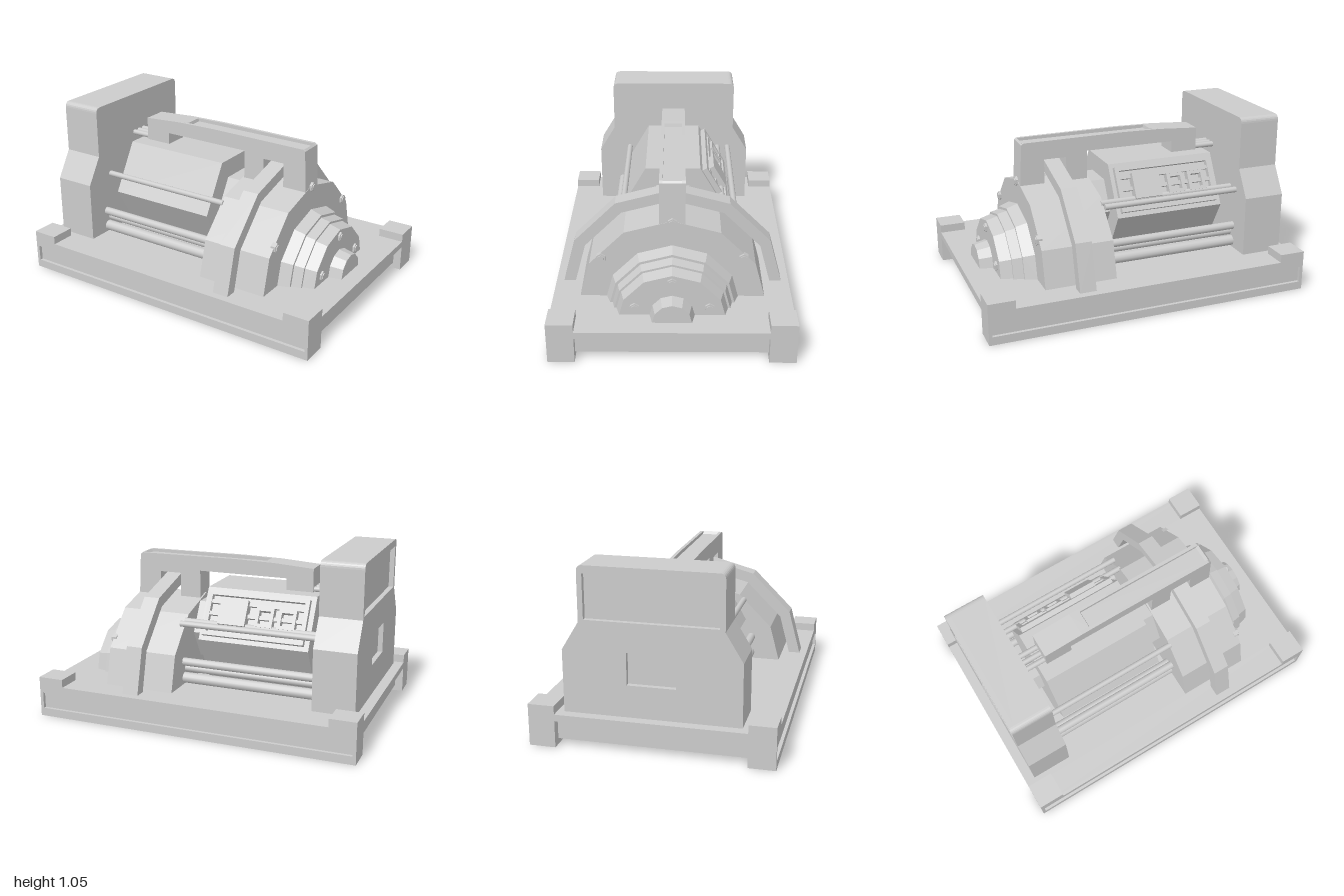
import * as THREE from 'three';
import { ConvexGeometry } from 'three/addons/geometries/ConvexGeometry.js';

const material = new THREE.MeshStandardMaterial({ color: 0xcccccc, flatShading: true });
const smooth = new THREE.MeshStandardMaterial({ color: 0xcccccc });

export function createModel() {
  const model = new THREE.Group();

  const add = (name, geometry, parent = model, mat = material) => {
    const mesh = new THREE.Mesh(geometry, mat);
    mesh.name = name;
    parent.add(mesh);
    return mesh;
  };
  // Box given by its min and max on each axis
  const box = (name, x0, x1, y0, y1, z0, z1, parent) => {
    const g = new THREE.BoxGeometry(x1 - x0, y1 - y0, z1 - z0);
    g.translate((x0 + x1) / 2, (y0 + y1) / 2, (z0 + z1) / 2);
    return add(name, g, parent);
  };
  // Cylinder along x
  const rod = (name, x0, x1, y, z, r, sides = 14, parent = model) => {
    const g = new THREE.CylinderGeometry(r, r, x1 - x0, sides);
    if (sides === 6) g.rotateY(Math.PI / 2);
    g.rotateZ(-Math.PI / 2);
    g.translate((x0 + x1) / 2, y, z);
    return add(name, g, parent, sides > 8 ? smooth : material);
  };
  const shapeOf = (pts) => new THREE.Shape(pts.map(([a, b]) => new THREE.Vector2(a, b)));
  const rect = (a0, a1, b0, b1) => shapeOf([[a0, b0], [a1, b0], [a1, b1], [a0, b1]]);
  const extrude = (shape, depth) =>
    new THREE.ExtrudeGeometry(shape, { depth, bevelEnabled: false, curveSegments: 6 });
  // Extrude a (z, y) outline along x
  const extrudeX = (shape, x0, x1) => extrude(shape, x1 - x0).rotateY(Math.PI / 2).translate(x0, 0, 0);

  // Upper half of a twelve-sided ring, cut at floor level
  const floor = 0.2;
  const archPoints = (r, cy = 0.14) => {
    const end = r - 0.268 * (floor - cy);
    const pts = [[end, floor]];
    for (let i = 1; i <= 5; i++) {
      const a = (i * Math.PI) / 6;
      pts.push([r * Math.cos(a), cy + r * Math.sin(a)]);
    }
    pts.push([-end, floor]);
    return pts;
  };
  // Tapered solid between two arches
  const taper = (name, x0, r0, x1, r1, cy) => {
    const at = (x, r) => archPoints(r, cy).map(([z, y]) => new THREE.Vector3(x, y, z));
    return add(name, new ConvexGeometry([...at(x0, r0), ...at(x1, r1)]));
  };

  // Base: top plate, slab, grooved side rails and corner blocks
  box('basePlate', -1, 1, 0.16, 0.2, -0.56, 0.56);
  box('baseSlab', -0.95, 0.95, 0.035, 0.16, -0.56, 0.56);
  for (const s of [-1, 1]) {
    const rail = new THREE.Group();
    rail.name = s > 0 ? 'frontRail' : 'backRail';
    model.add(rail);
    box('railCore', -1, 1, 0, 0.2, s > 0 ? 0.55 : -0.685, s > 0 ? 0.685 : -0.55, rail);
    const frame = rect(-1, 1, 0, 0.2);
    frame.holes.push(rect(-0.98, 0.98, 0.05, 0.15));
    add('railFrame', extrude(frame, 0.02).translate(0, 0, s > 0 ? 0.685 : -0.705), rail);
    for (const e of [-1, 1]) {
      box('cornerBlock', e > 0 ? 0.84 : -1, e > 0 ? 1 : -0.84, 0.2, 0.25,
        s > 0 ? 0.55 : -0.705, s > 0 ? 0.705 : -0.55);
    }
  }

  // End cabinet with rounded top corners and two recesses in its outer face
  const cabinetShape = () => {
    const s = new THREE.Shape();
    s.moveTo(-0.51, 0.2);
    s.lineTo(0.51, 0.2);
    s.lineTo(0.51, 0.57);
    s.lineTo(0.41, 0.735);
    s.lineTo(0.41, 1.02);
    s.quadraticCurveTo(0.41, 1.055, 0.375, 1.055);
    s.lineTo(-0.375, 1.055);
    s.quadraticCurveTo(-0.41, 1.055, -0.41, 1.02);
    s.lineTo(-0.41, 0.735);
    s.lineTo(-0.51, 0.57);
    s.closePath();
    return s;
  };
  add('cabinet', extrudeX(cabinetShape(), -0.91, -0.685));
  const face = cabinetShape();
  face.holes.push(rect(-0.38, 0.38, 0.75, 1.01), rect(-0.14, 0.14, 0.39, 0.58));
  add('cabinetFace', extrudeX(face, -0.94, -0.91));

  // Drum housing and stepped end cover
  add('drumHousing', extrudeX(shapeOf(archPoints(0.56)), 0.18, 0.62));
  taper('coverRing', 0.61, 0.407, 0.69, 0.38);
  taper('coverRing', 0.68, 0.367, 0.75, 0.352);
  taper('coverRing', 0.74, 0.342, 0.82, 0.32);
  taper('shaftNose', 0.81, 0.132, 0.9, 0.113, 0.2);

  // Brace arching over the housing with a small gap
  const brace = [...archPoints(0.675), ...archPoints(0.605).reverse()];
  add('archBrace', extrudeX(shapeOf(brace), 0.35, 0.45));

  // Hex bolts with a raised centre
  const bolt = (x, y, z) => {
    rod('bolt', x - 0.02, x + 0.012, y, z, 0.03, 6);
    rod('boltCentre', x, x + 0.018, y, z, 0.021, 6);
  };
  for (const z of [-0.415, 0.415]) bolt(0.62, 0.46, z);
  bolt(0.62, 0.69, 0);
  bolt(0.82, 0.415, 0);
  for (const z of [-0.215, 0.215]) bolt(0.82, 0.25, z);

  // Top beam: side cheeks and a lower middle that leaves a trough on top
  const beamLower = [[-0.55, 0.78], [-0.38, 0.78], [-0.38, 0.855], [0.19, 0.855], [0.19, 0.68],
    [0.325, 0.68], [0.325, 0.83], [0.465, 0.83], [0.465, 0.68], [0.618, 0.68]];
  const beamTop = [[0.605, 0.932], [0.59, 0.943], [-0.05, 0.948], [-0.3, 0.943], [-0.55, 0.927]];
  const troughTop = [[0.605, 0.932], [0.595, 0.943], [0.58, 0.925], [-0.235, 0.925],
    [-0.24, 0.945], [-0.3, 0.943], [-0.55, 0.927]];
  const beam = new THREE.Group();
  beam.name = 'topBeam';
  model.add(beam);
  for (const z of [-0.075, 0.055]) {
    add('beamCheek', extrude(shapeOf([...beamLower, ...beamTop]), 0.02).translate(0, 0, z), beam);
  }
  add('beamMiddle', extrude(shapeOf([...beamLower, ...troughTop]), 0.11).translate(0, 0, -0.055), beam);

  // Hexagonal motor body with a collar at each end
  const hexBar = (name, x0, x1, r) => {
    const pts = [];
    for (let i = 0; i < 6; i++) {
      const a = (i * Math.PI) / 3;
      pts.push([r * Math.cos(a), 0.49 + r * Math.sin(a)]);
    }
    add(name, extrudeX(shapeOf(pts), x0, x1));
  };
  hexBar('motorBody', -0.605, 0.09, 0.338);
  hexBar('frontCollar', 0.08, 0.19, 0.205);
  hexBar('rearCollar', -0.69, -0.6, 0.1);

  // Service panel on the back upper face of the motor
  const panel = new THREE.Group();
  panel.name = 'servicePanel';
  panel.position.set(-0.255, 0.637, -0.255);
  panel.rotation.x = Math.PI / 6;
  model.add(panel);
  const rim = rect(-0.32, 0.32, -0.14, 0.14);
  rim.holes.push(rect(-0.295, 0.295, -0.115, 0.115));
  add('panelRim', extrude(rim, 0.035).translate(0, 0, -0.03), panel);
  box('panelBox', 0.05, 0.225, -0.07, 0.09, -0.055, 0.01, panel);
  for (const y of [-0.075, 0, 0.075]) box('panelBar', -0.295, 0.295, y - 0.012, y + 0.012, -0.025, 0.01, panel);
  for (const x of [-0.2, -0.06]) {
    const frame = rect(x - 0.055, x + 0.055, -0.06, 0.06);
    frame.holes.push(rect(x - 0.035, x + 0.035, -0.04, 0.04));
    add('panelFrame', extrude(frame, 0.045).translate(0, 0, -0.04), panel);
  }

  // Tie rods and pipes between the cabinet and the housing
  for (const s of [-1, 1]) {
    rod('tieRod', -0.69, 0.19, 0.59, s * 0.305, 0.018);
    rod('pipe', -0.69, 0.19, 0.345, s * 0.36, 0.025);
    rod('pipe', -0.69, 0.19, 0.295, s * 0.32, 0.025);
    rod('pipe', -0.69, 0.19, 0.24, s * 0.35, 0.033);
  }
  rod('upperTieRod', -0.69, 0.19, 0.59, -0.375, 0.018);
  for (const z of [-0.045, 0, 0.045]) rod('beamRod', -0.69, -0.54, 0.797, z, 0.017);

  return model;
}
